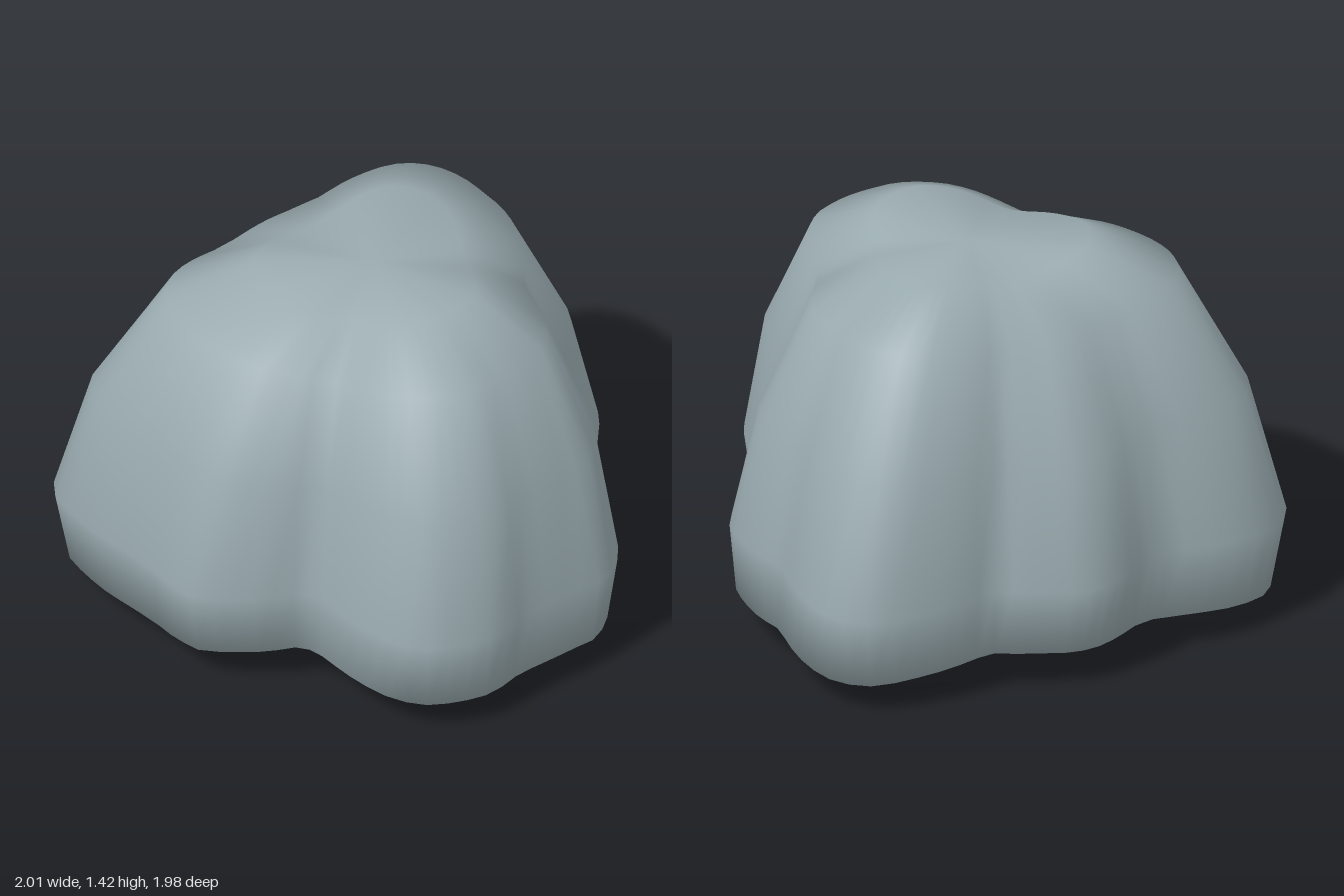
import * as THREE from 'three';

// Widest outline seen from above, as x, z pairs, running back -> left -> front -> right
const OUTLINE = [
  -0.33, -1, -0.18, -0.98, 0.08, -0.84, 0.23, -0.82, 0.42, -0.74, 0.5, -0.63, 0.55, -0.38,
  0.62, -0.31, 0.75, -0.25, 0.87, -0.16, 0.96, -0.05, 1, 0.08, 0.95, 0.2, 0.9, 0.34,
  0.87, 0.43, 0.86, 0.58, 0.79, 0.7, 0.69, 0.8, 0.55, 0.83, 0.34, 0.8, 0.21, 0.76,
  0.13, 0.79, 0.07, 0.86, -0.02, 0.92, -0.07, 0.95, -0.17, 0.99, -0.28, 0.97, -0.4, 0.92,
  -0.54, 0.88, -0.77, 0.81, -0.92, 0.74, -1, 0.63, -1, 0.47, -0.95, 0.32, -0.87, 0.18,
  -0.86, 0.05, -0.89, -0.15, -0.86, -0.26, -0.78, -0.35, -0.62, -0.49, -0.54, -0.78, -0.46, -0.93,
];
const POLE_Z = 0.07;
const MID_Y = 0.71;
const TOP_Y = 1.42;
const COLUMNS = 84;
const TURN = Math.PI * 2;

// Rings from bottom to top: size, height, and how far the outline eases into three broad lobes
const RINGS = [
  { size: 0.63, height: 0, ease: 0.85 },
  { size: 0.97, height: 0.13, ease: 0.15 },
  { size: 1, height: 0.4, ease: 0 },
  { size: 0.9, height: 0.87, ease: 0.25 },
  { size: 0.7, height: 1.29, ease: 0.7 },
  { size: 0.41, height: 1.42, ease: 0.9 },
];

// The outline as angle and radius about the pole
const POLAR = [];
for (let i = 0; i < OUTLINE.length; i += 2) {
  const x = OUTLINE[i];
  const z = OUTLINE[i + 1] - POLE_Z;
  POLAR.push({ angle: Math.atan2(z, x), radius: Math.hypot(x, z) });
}

function outlineRadius(angle) {
  for (let i = 0; i < POLAR.length; i++) {
    const a = POLAR[i];
    const b = POLAR[(i + 1) % POLAR.length];
    const span = THREE.MathUtils.euclideanModulo(b.angle - a.angle, TURN);
    const offset = THREE.MathUtils.euclideanModulo(angle - a.angle, TURN);
    if (offset <= span) return THREE.MathUtils.lerp(a.radius, b.radius, offset / span);
  }
  return 1;
}

// The small lobes twist gently as they rise; the broad ones hardly turn
function ringRadius(angle, { height, ease }) {
  const twist = THREE.MathUtils.degToRad(4 * (0.7 - height));
  const lobePhase = THREE.MathUtils.degToRad(25 - 6 * height);
  const broad = 0.92 * (1 + 0.14 * Math.cos(3 * (angle - lobePhase)));
  return THREE.MathUtils.lerp(outlineRadius(angle - twist), broad, ease);
}

function rockGeometry() {
  const positions = [];
  const index = [];

  for (const ring of RINGS) {
    for (let i = 0; i < COLUMNS; i++) {
      const angle = (i / COLUMNS) * TURN;
      const radius = ringRadius(angle, ring);
      // The grooves between lobes are pulled towards the middle height
      const pull = 0.73 + 0.26 * radius;
      const y = THREE.MathUtils.clamp(MID_Y + (ring.height - MID_Y) * pull, 0, TOP_Y);
      const reach = radius * ring.size;
      positions.push(Math.cos(angle) * reach, y, Math.sin(angle) * reach + POLE_Z);
    }
  }
  const bottom = RINGS.length * COLUMNS;
  const top = bottom + 1;
  positions.push(0, 0.04, POLE_Z, 0, 1.4, POLE_Z);

  const last = (RINGS.length - 1) * COLUMNS;
  for (let i = 0; i < COLUMNS; i++) {
    const j = (i + 1) % COLUMNS;
    for (let r = 0; r < last; r += COLUMNS) {
      const a = r + i;
      const b = r + j;
      index.push(a, a + COLUMNS, b, b, a + COLUMNS, b + COLUMNS);
    }
    // Fans closing the underside and the crown
    index.push(bottom, i, j, top, last + j, last + i);
  }

  const geometry = new THREE.BufferGeometry();
  geometry.setAttribute('position', new THREE.Float32BufferAttribute(positions, 3));
  geometry.setIndex(index);
  geometry.computeVertexNormals();
  return geometry;
}

export function createModel() {
  const stone = new THREE.MeshStandardMaterial({ color: 0x9aabb0 });
  stone.name = 'blue grey stone';

  const rock = new THREE.Mesh(rockGeometry(), stone);
  rock.name = 'rock';

  const model = new THREE.Group();
  model.name = 'boulder';
  model.add(rock);
  return model;
}
